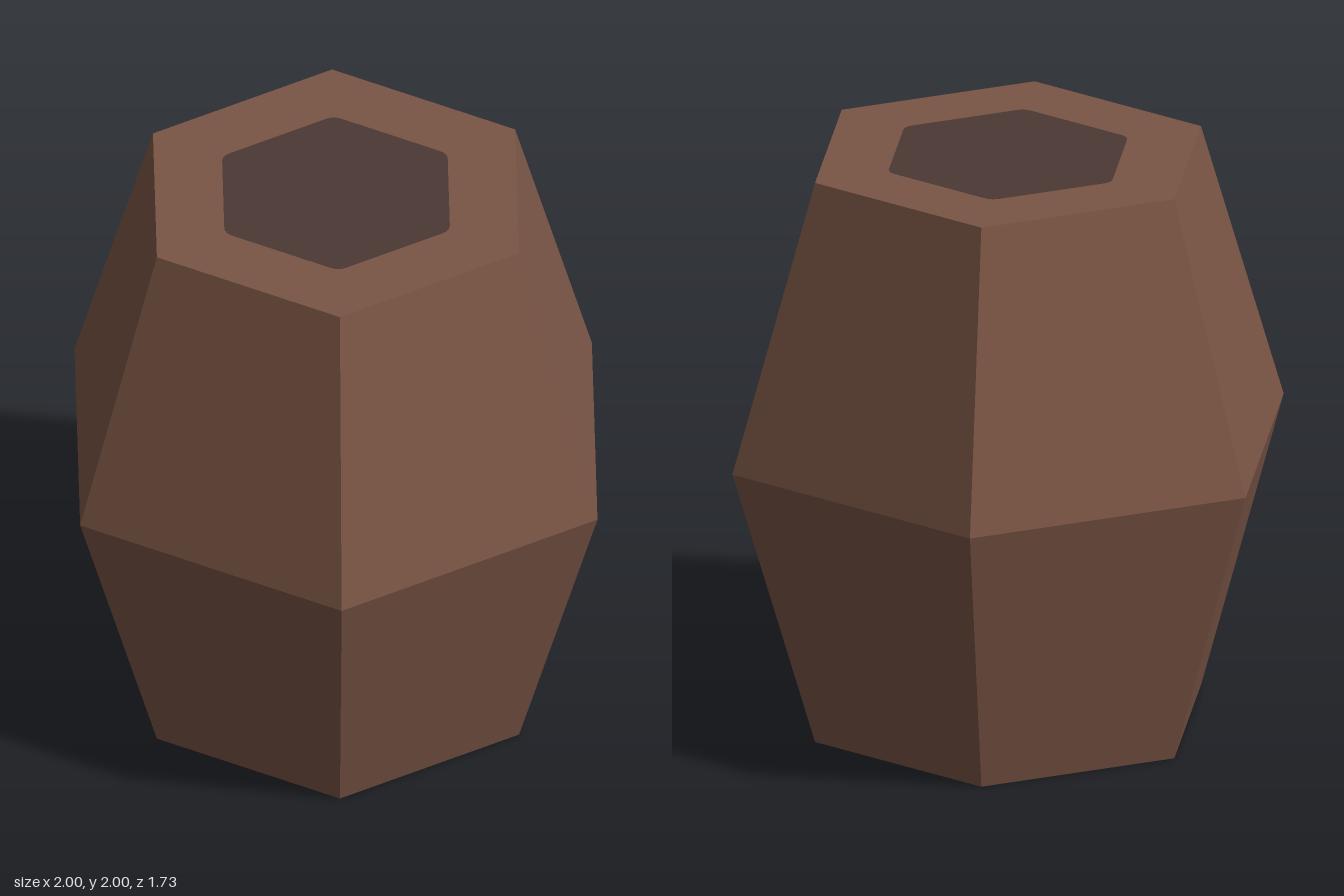
import * as THREE from 'three';

const corner = (r, i) => new THREE.Vector2(r * Math.cos(i * Math.PI / 3), r * Math.sin(i * Math.PI / 3));

// Points of a hexagon whose corners are rounded off over the given length
function roundedHexagon(r, cut) {
  const points = [];
  for (let i = 0; i < 6; i++) {
    const c = corner(r, i);
    const toward = (j) => c.clone().add(corner(r, j).sub(c).setLength(cut));
    const curve = new THREE.QuadraticBezierCurve(toward(i - 1), c, toward(i + 1));
    points.push(...curve.getPoints(4));
  }
  return points;
}

export function createModel() {
  const group = new THREE.Group();
  group.name = 'hexagonalBarrel';
  const brown = new THREE.MeshStandardMaterial({ name: 'brown', color: 0x7a5545, flatShading: true });
  const darkBrown = new THREE.MeshStandardMaterial({ name: 'dark brown', color: 0x4b3833, flatShading: true });

  const add = (name, geometry, material) => {
    const mesh = new THREE.Mesh(geometry, material);
    mesh.name = name;
    group.add(mesh);
  };

  // Six-sided bulging wall, corners on the x axis
  const profile = [[0.7, 0], [1, 1], [0.7, 2]].map(([r, y]) => new THREE.Vector2(r, y));
  add('wall', new THREE.LatheGeometry(profile, 6, Math.PI / 2), brown);

  // Flat ends: a brown rim around a dark inset hexagon
  const inner = roundedHexagon(0.436, 0.03);
  for (const [name, y, turn] of [['top', 2, -1], ['bottom', 0, 1]]) {
    const rim = new THREE.Shape([0, 1, 2, 3, 4, 5].map((i) => corner(0.7, i)));
    rim.holes.push(new THREE.Path(inner));
    const place = (shape) => new THREE.ShapeGeometry(shape).rotateX(turn * Math.PI / 2).translate(0, y, 0);
    add(name + 'Rim', place(rim), brown);
    add(name + 'Panel', place(new THREE.Shape(inner)), darkBrown);
  }
  return group;
}
